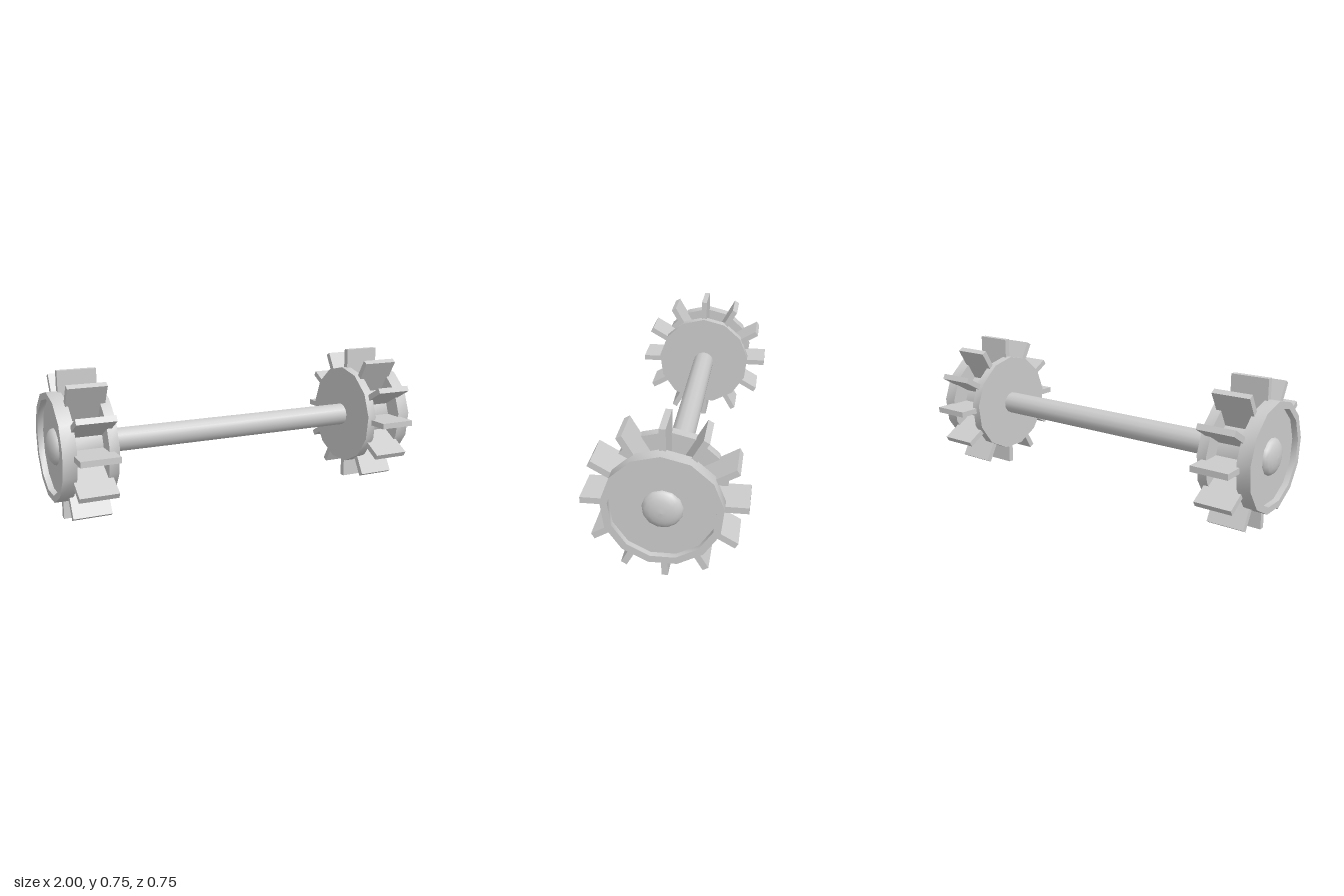
import * as THREE from 'three';
import { toCreasedNormals } from 'three/addons/utils/BufferGeometryUtils.js';

const SIDES = 13, BLADES = 12, AXLE_Y = 0.375;
const material = new THREE.MeshStandardMaterial({ color: 0xcccccc });

function part(name, geometry) {
  const mesh = new THREE.Mesh(geometry, material);
  mesh.name = name;
  return mesh;
}

// Turns a [radius, x] profile around the x axis, with one corner pointing up.
function turned(profile) {
  const points = profile.map(([r, x]) => new THREE.Vector2(r, x));
  return new THREE.LatheGeometry(points, SIDES, -Math.PI / 2).rotateZ(-Math.PI / 2);
}

function createWheel(name) {
  const wheel = new THREE.Group();
  wheel.name = name;

  // Spool: inner flange, narrow hub, thicker outer flange with a recessed face
  const spool = turned([
    [0, 0.715], [0.274, 0.715], [0.274, 0.765], [0.178, 0.765], [0.178, 0.92],
    [0.274, 0.92], [0.274, 0.99], [0.24, 0.99], [0.24, 0.96], [0, 0.96],
  ]);
  wheel.add(part('spool', toCreasedNormals(spool, 0.7)));

  // Flattened cap in the recess
  const dome = [];
  for (let i = 0; i <= 5; i++) {
    const a = (i / 5) * Math.PI / 2;
    dome.push([0.093 * Math.cos(a), 0.96 + 0.04 * Math.sin(a)]);
  }
  wheel.add(part('hubCap', turned(dome)));

  // Paddle blades, set between the flanges
  const blade = new THREE.BoxGeometry(0.195, 0.214, 0.03).translate(0.8375, 0.268, 0);
  for (let i = 0; i < BLADES; i++) {
    const mesh = part('blade', blade);
    mesh.rotation.x = (i / BLADES) * Math.PI * 2;
    wheel.add(mesh);
  }
  return wheel;
}

export function createModel() {
  const model = new THREE.Group();
  model.name = 'paddleWheelAxle';

  const leftWheel = createWheel('leftWheel');
  const rightWheel = createWheel('rightWheel');
  rightWheel.rotation.y = Math.PI;

  const axle = turned([[0.061, -0.73], [0.061, 0.73]]);
  model.add(leftWheel, rightWheel, part('axle', axle));
  model.children.forEach((child) => { child.position.y = AXLE_Y; });
  return model;
}
